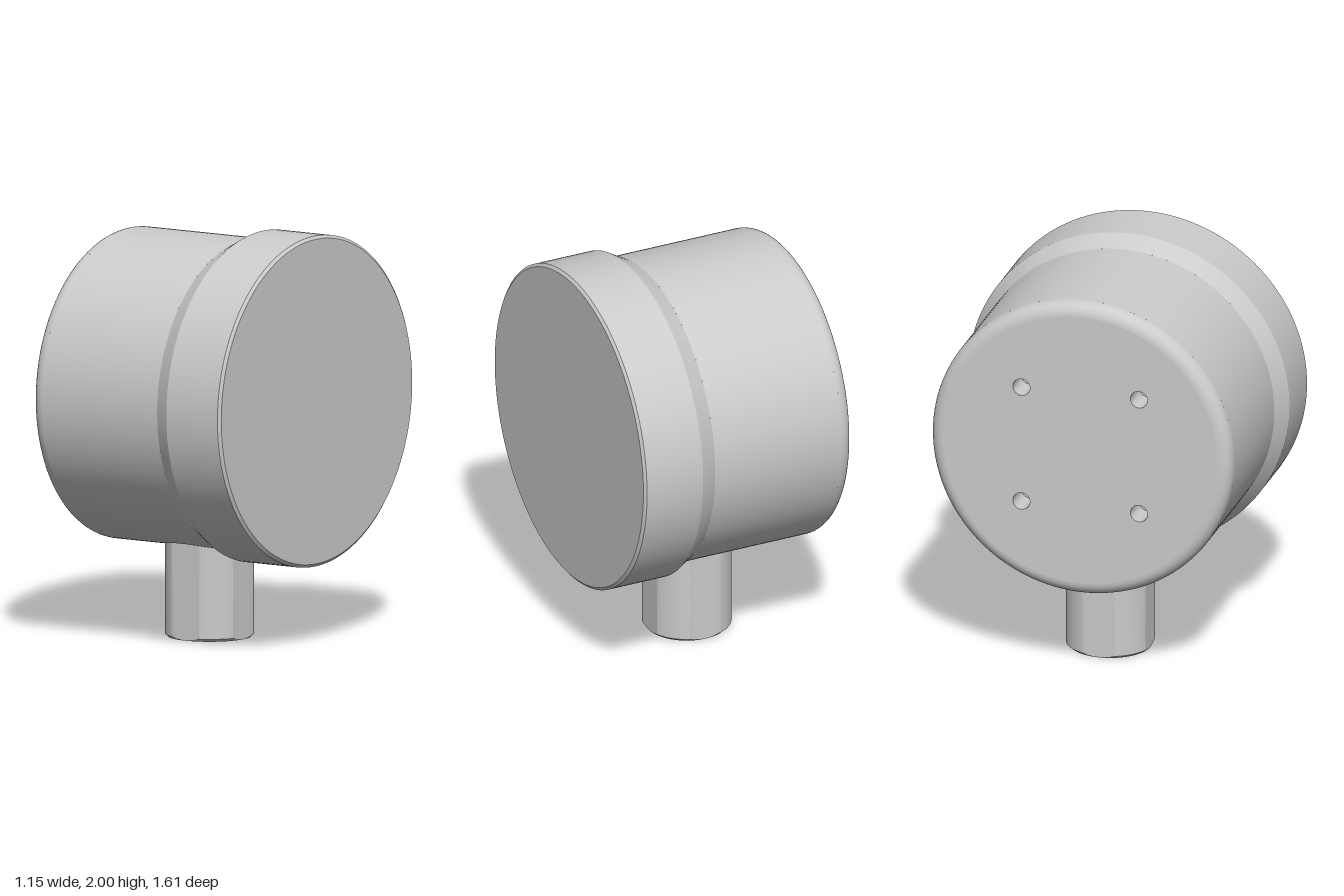
import * as THREE from 'three';
import { toCreasedNormals } from 'three/addons/utils/BufferGeometryUtils.js';

const R = 0.755;          // main case radius
const RIM = 0.805;        // front rim radius
const AXIS_Y = 1.195;     // height of the case axis
const BACK = -0.58, FRONT = 0.575, SHOULDER = 0.17, FILLET = 0.065;
const STEM_X = -0.06, PORT_R = 0.228;
const SECTOR = 0.4;       // half angle of the patch around the stem port

const grey = new THREE.MeshStandardMaterial({ color: 0xcccccc });
const greyDouble = new THREE.MeshStandardMaterial({ color: 0xcccccc, side: THREE.DoubleSide });

function add(parent, name, geometry, material = grey) {
  const mesh = new THREE.Mesh(geometry, material);
  mesh.name = name;
  parent.add(mesh);
  return mesh;
}

// Lathe about the x axis from [x, radius] pairs, with crisp edges
function latheX(pairs, start = 0, length = Math.PI * 2, segments = 128) {
  const points = pairs.map(([x, r]) => new THREE.Vector2(r, x));
  const g = new THREE.LatheGeometry(points, segments, start, length);
  g.rotateZ(-Math.PI / 2);
  return toCreasedNormals(g, 0.35);
}

// Curved panel at the bottom of the case with a round opening for the stem
function portPanel() {
  const x0 = BACK + FILLET, x1 = SHOULDER, hz = R * Math.sin(SECTOR);
  const n = 128, rows = 8, pos = [], nor = [], idx = [];
  const angles = [];
  for (let i = 0; i < n; i++) angles.push((i / n) * Math.PI * 2);
  for (const cx of [x0, x1]) {
    for (const cz of [-hz, hz]) angles.push((Math.atan2(cz, cx - STEM_X) + Math.PI * 2) % (Math.PI * 2));
  }
  angles.sort((a, b) => a - b);
  angles.push(Math.PI * 2);
  for (const a of angles) {
    const c = Math.cos(a), s = Math.sin(a);
    const reachX = (c > 0 ? x1 - STEM_X : STEM_X - x0) / Math.max(Math.abs(c), 1e-6);
    const outer = Math.min(reachX, hz / Math.max(Math.abs(s), 1e-6));
    for (let j = 0; j <= rows; j++) {
      const d = PORT_R + (outer - PORT_R) * (j / rows);
      const z = d * s, y = -Math.sqrt(R * R - z * z);
      pos.push(STEM_X + d * c, y, z);
      nor.push(0, y / R, z / R);
    }
  }
  const w = rows + 1;
  for (let i = 0; i < angles.length - 1; i++) {
    for (let j = 0; j < rows; j++) {
      const a = i * w + j, b = a + w;
      idx.push(a, a + 1, b, b, a + 1, b + 1);
    }
  }
  const g = new THREE.BufferGeometry();
  g.setAttribute('position', new THREE.Float32BufferAttribute(pos, 3));
  g.setAttribute('normal', new THREE.Float32BufferAttribute(nor, 3));
  g.setIndex(idx);
  return g;
}

// Wall of the stem opening, its lower edge following the case, closed at the top
function portPocket() {
  const g = new THREE.CylinderGeometry(PORT_R, PORT_R, 1, 96, 1, true);
  const p = g.attributes.position;
  for (let i = 0; i < p.count; i++) {
    const z = p.getZ(i);
    p.setY(i, p.getY(i) > 0 ? -0.58 : -Math.sqrt(R * R - z * z));
  }
  return g;
}

// Round stem with four milled flats, chamfered foot and blind bore
function stemGeometry() {
  const r = 0.2155, flat = 0.2, bore = 0.182;
  const profile = [[0, 0.4], [bore, 0.4], [bore, 0.008], [bore + 0.008, 0], [flat, 0],
    [0.204, 0.004], [0.208, 0.008], [0.212, 0.011], [r, 0.014], [r, 0.615]];
  const g = new THREE.LatheGeometry(profile.map(([a, b]) => new THREE.Vector2(a, b)), 128);
  const p = g.attributes.position;
  const clamp = (v) => THREE.MathUtils.clamp(v, -flat, flat);
  for (let i = 0; i < p.count; i++) {
    p.setX(i, clamp(p.getX(i)));
    p.setZ(i, clamp(p.getZ(i)));
  }
  return toCreasedNormals(g, 0.25);
}

export function createModel() {
  const model = new THREE.Group();
  model.name = 'gaugeHousing';

  const housing = new THREE.Group();
  housing.name = 'case';
  housing.position.y = AXIS_Y;
  model.add(housing);

  // Rounded rear edge
  const fillet = [];
  for (let i = 0; i <= 8; i++) {
    const a = (i / 8) * Math.PI / 2;
    fillet.push([BACK + FILLET * (1 - Math.sin(a)), R - FILLET * (1 - Math.cos(a))]);
  }
  add(housing, 'rearRoundedEdge', latheX(fillet.reverse()));

  // Case wall, open at the bottom where the port panel sits
  add(housing, 'caseWall', latheX([[BACK + FILLET, R], [SHOULDER, R]],
    Math.PI / 2 + SECTOR, Math.PI * 2 - 2 * SECTOR));
  add(housing, 'stemPortPanel', portPanel(), greyDouble);
  const pocket = add(housing, 'stemPortWall', portPocket(), greyDouble);
  pocket.position.x = STEM_X;
  const roof = add(housing, 'stemPortRoof', new THREE.CircleGeometry(PORT_R, 64).rotateX(Math.PI / 2));
  roof.position.set(STEM_X, -0.58, 0);

  // Flared shoulder, wide rim, small chamfer and flat front
  add(housing, 'frontRim', latheX([[SHOULDER, R], [0.26, RIM], [FRONT - 0.012, RIM],
    [FRONT, 0.79], [FRONT, 0]]));

  // Rear face with four blind mounting holes
  const holeR = 0.043, holeAt = 0.295;
  const face = new THREE.Shape().absarc(0, 0, R - FILLET, 0, Math.PI * 2);
  for (const z of [-holeAt, holeAt]) {
    for (const y of [-holeAt, holeAt]) {
      face.holes.push(new THREE.Path().absarc(z, y, holeR, 0, Math.PI * 2, true));
      const cup = add(housing, 'mountingHole',
        latheX([[0, holeR], [0.15, holeR], [0.15, 0]], 0, Math.PI * 2, 32), greyDouble);
      cup.position.set(BACK, y, z);
    }
  }
  const rear = new THREE.ShapeGeometry(face, 64).rotateY(-Math.PI / 2);
  add(housing, 'rearFace', rear).position.x = BACK;

  // Stem
  add(model, 'stem', stemGeometry(), greyDouble).position.x = STEM_X;

  return model;
}
